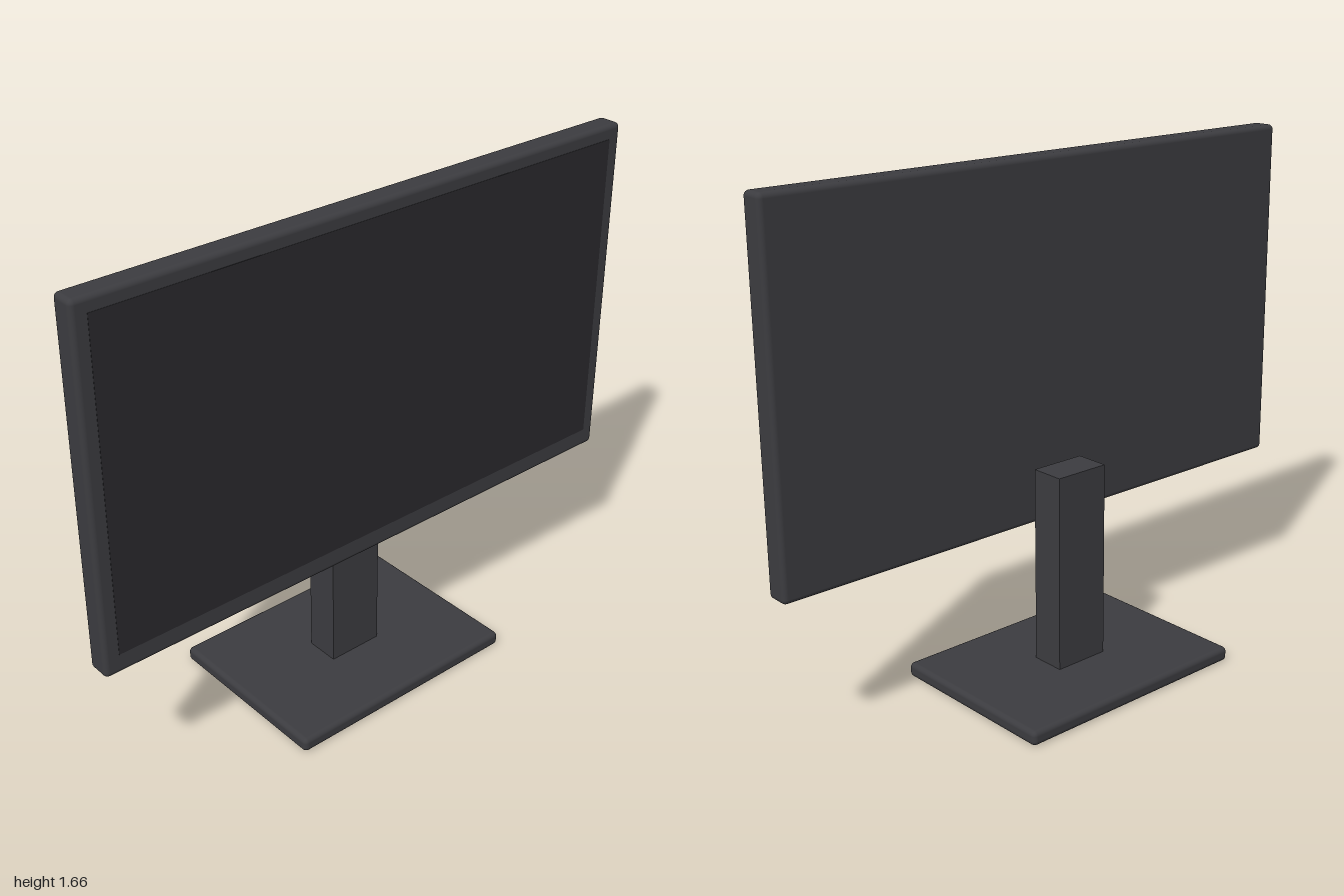
import * as THREE from 'three';
import { RoundedBoxGeometry } from 'three/addons/geometries/RoundedBoxGeometry.js';

export function createModel() {
  const model = new THREE.Group();
  model.name = 'monitor';
  const plastic = new THREE.MeshStandardMaterial({ color: 0x3c3c40 });
  const glass = new THREE.MeshStandardMaterial({ color: 0x2a292d });

  const add = (name, geometry, material, x, y, z) => {
    const mesh = new THREE.Mesh(geometry, material);
    mesh.name = name;
    mesh.position.set(x, y, z);
    model.add(mesh);
  };

  // Stand: flat foot with softened edges and a square-cut column
  add('base', new RoundedBoxGeometry(0.84, 0.048, 0.614, 3, 0.016), plastic, 0, 0.024, 0);
  add('column', new THREE.BoxGeometry(0.19, 0.665, 0.114), plastic, 0, 0.3625, 0);

  // Panel housing in front of the column
  add('housing', new RoundedBoxGeometry(2, 1.152, 0.08, 3, 0.016), plastic, 0, 1.081, 0.117);

  // Display surface, with a deeper bezel along the bottom
  add('screen', new THREE.BoxGeometry(1.904, 1.042, 0.004), glass, 0, 1.091, 0.156);

  return model;
}
